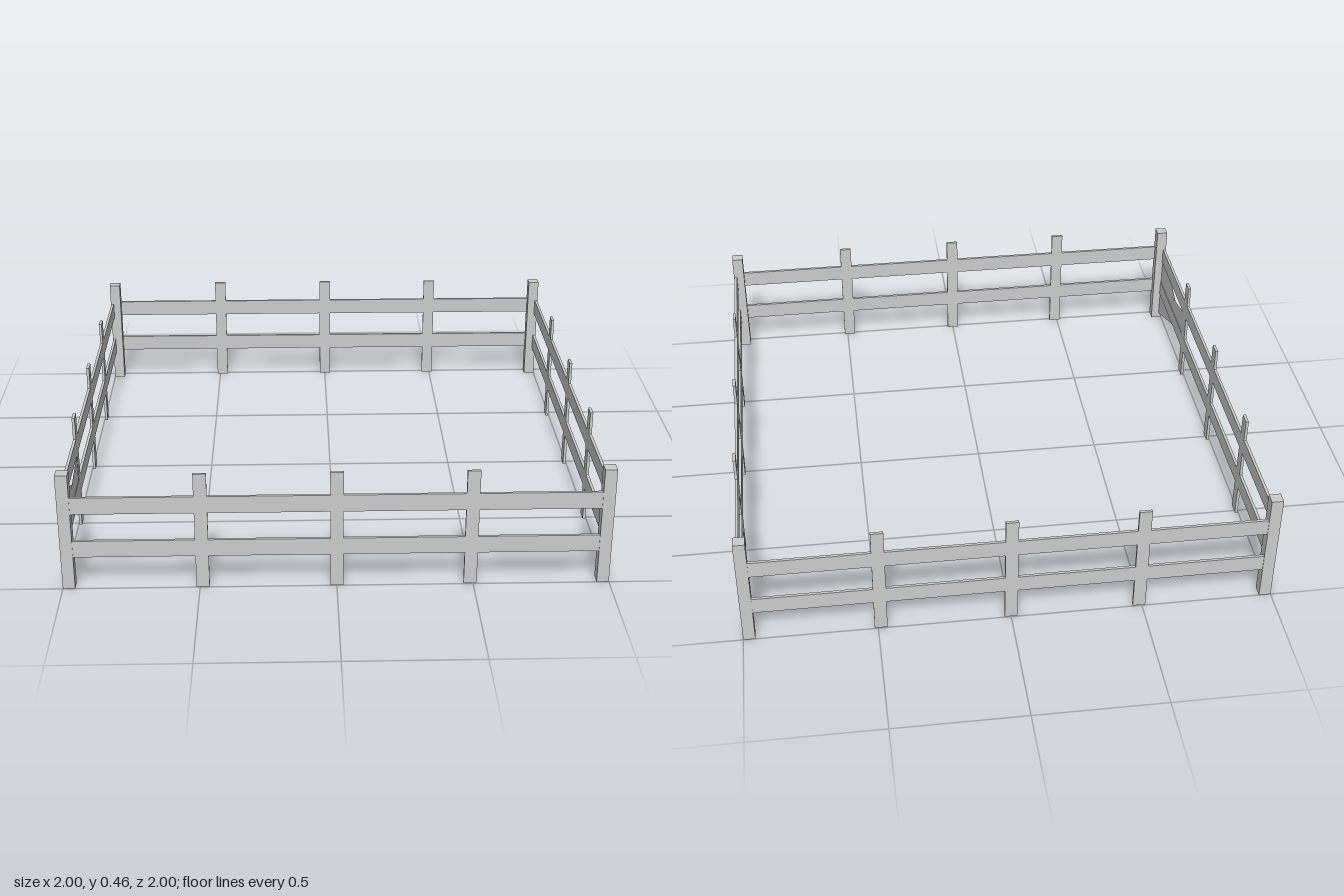
import * as THREE from 'three';

const material = new THREE.MeshStandardMaterial({ color: 0xcccccc, flatShading: true });
const thinMaterial = new THREE.MeshStandardMaterial({ color: 0xcccccc, flatShading: true, side: THREE.DoubleSide });

const HEIGHT = 0.46, CORNER = 0.045, BOARD = 0.011, PICKET = 0.048;
const FACE = 0.992; // distance of the board centre line from the middle

function box(parent, name, w, h, d, x, y, z) {
  const mesh = new THREE.Mesh(new THREE.BoxGeometry(w, h, d), material);
  mesh.name = name;
  mesh.position.set(x, y, z);
  parent.add(mesh);
}

// One straight run of fence, built along x at +z
function fenceSide(name) {
  const side = new THREE.Group();
  side.name = name;
  const length = 2 - 2 * CORNER;
  box(side, 'lowerRail', length, 0.066, BOARD, 0, 0.162, FACE);
  box(side, 'upperRail', length, 0.066, BOARD, 0, 0.337, FACE);
  // Flat pickets, split around the rails so that the faces stay flush
  for (const x of [-0.489, 0, 0.489]) {
    for (const [y0, y1] of [[0, 0.129], [0.195, 0.304], [0.37, HEIGHT]]) {
      box(side, 'picket', PICKET, y1 - y0, BOARD, x, (y0 + y1) / 2, FACE);
    }
  }
  return side;
}

// Thin triangular sheet
function sheet(name, corners) {
  const geometry = new THREE.BufferGeometry();
  geometry.setAttribute('position', new THREE.Float32BufferAttribute(corners.flat(), 3));
  geometry.computeVertexNormals();
  const mesh = new THREE.Mesh(geometry, thinMaterial);
  mesh.name = name;
  return mesh;
}

export function createModel() {
  const fence = new THREE.Group();
  fence.name = 'squareFence';

  // Four sides
  ['frontSide', 'leftSide', 'backSide', 'rightSide'].forEach((name, i) => {
    const side = fenceSide(name);
    side.rotation.y = i * Math.PI / 2;
    fence.add(side);
  });

  // Square corner posts
  const c = 1 - CORNER / 2;
  for (const x of [-c, c]) {
    for (const z of [-c, c]) box(fence, 'cornerPost', CORNER, HEIGHT, CORNER, x, HEIGHT / 2, z);
  }

  // Two crossing sheets in the front bay of the right side
  fence.add(sheet('cornerBrace', [[-0.989, 0.37, 0.955], [-0.989, 0.02, 0.955], [-0.993, 0.195, 0.512]]));
  fence.add(sheet('bayBrace', [[-0.99, 0.195, 0.955], [-0.988, 0.195, 0.512], [-0.988, 0.305, 0.512]]));

  return fence;
}
